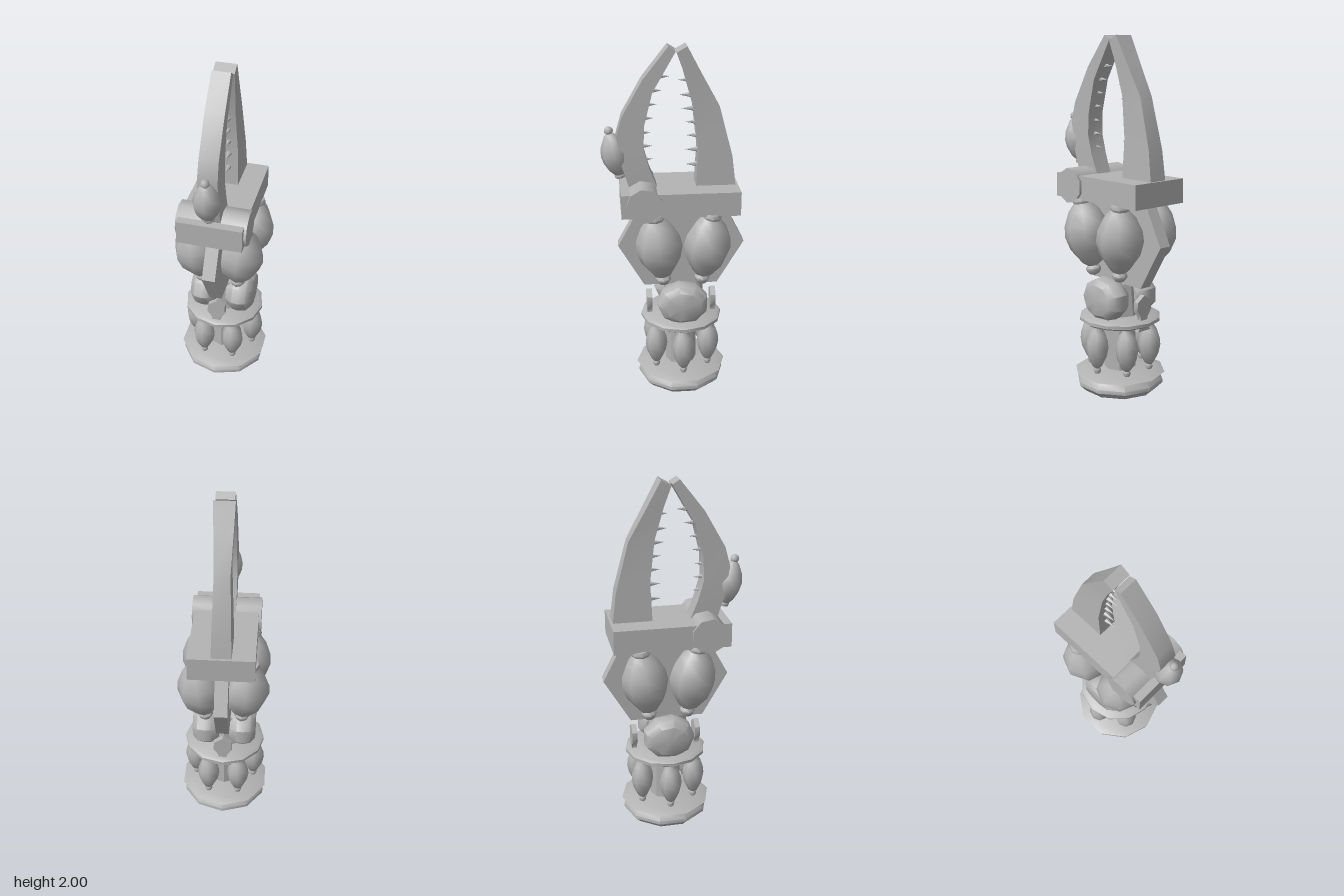
import * as THREE from 'three';
import { toCreasedNormals } from 'three/addons/utils/BufferGeometryUtils.js';

const CZ = -0.045; // z of the vertical axis of the stand

export function createModel() {
  const model = new THREE.Group();
  model.name = 'clawOnStand';
  const grey = new THREE.MeshStandardMaterial({ color: 0xb3b3b3 });
  grey.name = 'stone grey';

  const add = (name, geometry, x = 0, y = 0, z = 0, crease = 0.75) => {
    const mesh = new THREE.Mesh(toCreasedNormals(geometry, crease), grey);
    mesh.name = name;
    mesh.position.set(x, y, z);
    model.add(mesh);
    return mesh;
  };
  const lathe = (points, sides) =>
    new THREE.LatheGeometry(points.map(([r, y]) => new THREE.Vector2(r, y)), sides);
  const outline = (points) => new THREE.Shape(points.map(([x, y]) => new THREE.Vector2(x, y)));

  // Spindle-shaped bulb running from a beaded tip to a collared end
  const bulbProfile = [
    [0, 0], [0.22, 0.025], [0.32, 0.07], [0.33, 0.1], [0.24, 0.135], [0.42, 0.17],
    [0.85, 0.36], [1, 0.53], [0.93, 0.67], [0.66, 0.84], [0.38, 0.93], [0.42, 0.96], [0.36, 1], [0, 1],
  ];
  const up = new THREE.Vector3(0, 1, 0);
  function bulb(name, tip, end, radius, sides = 8) {
    const from = new THREE.Vector3(...tip);
    const axis = new THREE.Vector3(...end).sub(from);
    const length = axis.length();
    const geometry = lathe(bulbProfile.map(([r, t]) => [r * radius, t * length]), sides);
    const mesh = add(name, geometry, ...tip, 0.9);
    mesh.quaternion.setFromUnitVectors(up, axis.normalize());
  }

  // Stand: moulded foot, column, balusters and collar
  add('foot', lathe([
    [0, 0], [0.215, 0], [0.25, 0.035], [0.25, 0.055], [0.225, 0.085],
    [0.262, 0.1], [0.215, 0.12], [0, 0.12],
  ], 10), 0, 0, CZ);
  add('column', new THREE.CylinderGeometry(0.09, 0.09, 0.32, 8), 0, 0.27, CZ);
  for (let i = 0; i < 6; i++) {
    const a = (i / 6) * Math.PI * 2;
    const x = Math.cos(a) * 0.175, z = CZ + Math.sin(a) * 0.175;
    bulb('baluster', [x, 0.11, z], [x, 0.41, z], 0.064);
  }
  add('collar', lathe([
    [0, 0.4], [0.215, 0.4], [0.234, 0.412], [0.234, 0.43], [0.215, 0.443], [0, 0.443],
  ], 12), 0, 0, CZ);

  // Knuckle: two rounded lobes around a core
  for (const side of [1, -1]) {
    const lobe = lathe([
      [0, 0.02], [0.11, 0.03], [0.145, 0.075], [0.15, 0.11], [0.14, 0.155], [0.105, 0.183], [0, 0.185],
    ], 9);
    lobe.rotateZ(-side * Math.PI / 2);
    lobe.scale(1, 0.85, 1);
    add('knuckleLobe', lobe, 0, 0.545, CZ);
  }
  add('knuckleCore', new THREE.CylinderGeometry(0.09, 0.11, 0.2, 8), 0, 0.53, CZ);

  // Lugs on the front and back rim of the collar
  const lugShape = outline([
    [-0.045, 0.38], [0.045, 0.38], [0.025, 0.43], [0.025, 0.46], [0.053, 0.5],
    [0.05, 0.55], [0, 0.585], [-0.05, 0.55], [-0.053, 0.5], [-0.025, 0.46], [-0.025, 0.43],
  ]);
  for (const z of [0.125, -0.245]) {
    add('lug', new THREE.ExtrudeGeometry(lugShape, { depth: 0.03, bevelEnabled: false }), 0, 0, z);
  }

  // Upright hexagonal web between the four large bulbs
  const web = new THREE.ExtrudeGeometry(outline([
    [0.17, 0.63], [-0.25, 0.63], [-0.4, 0.885], [-0.285, 1.11], [0.19, 1.11], [0.315, 0.88],
  ]), { depth: 0.074, bevelEnabled: false });
  web.rotateY(-Math.PI / 2);
  add('web', web, 0.037);
  for (const sx of [1, -1]) {
    for (const sz of [1, -1]) {
      bulb('largeBulb', [sx * 0.1, 0.66, CZ + sz * 0.105], [sx * 0.148, 1.11, CZ + sz * 0.16], 0.132);
    }
  }

  // Palm slab and hinge roller
  add('palm', new THREE.BoxGeometry(0.36, 0.135, 0.65), 0, 1.1675, -0.03);
  const roller = new THREE.CylinderGeometry(0.1, 0.1, 0.39, 9);
  roller.rotateZ(Math.PI / 2);
  add('hingeRoller', roller, 0, 1.173, 0.17);

  // Claw from rows of [zFront, yFront, zBack, yBack, halfWidth]
  function claw(name, rows) {
    const positions = [], index = [];
    for (const [zf, yf, zb, yb, w] of rows) {
      positions.push(-w, yf, zf, w, yf, zf, w, yb, zb, -w, yb, zb);
    }
    const quad = (a, b, c, d) => index.push(a, b, c, a, c, d);
    for (let i = 0; i < rows.length - 1; i++) {
      for (let k = 0; k < 4; k++) {
        const n = (k + 1) % 4, o = i * 4;
        quad(o + k, o + n, o + 4 + n, o + 4 + k);
      }
    }
    const t = (rows.length - 1) * 4;
    quad(3, 2, 1, 0);
    quad(t, t + 1, t + 2, t + 3);
    const geometry = new THREE.BufferGeometry();
    geometry.setAttribute('position', new THREE.Float32BufferAttribute(positions, 3));
    geometry.setIndex(index);
    add(name, geometry, 0, 0, 0, 0.6);
  }
  claw('frontClaw', [
    [0.23, 1.18, 0.08, 1.2, 0.05],
    [0.285, 1.36, 0.135, 1.34, 0.054],
    [0.31, 1.52, 0.165, 1.45, 0.054],
    [0.28, 1.63, 0.16, 1.58, 0.052],
    [0.165, 1.83, 0.115, 1.76, 0.052],
    [0.03, 2.0, -0.01, 1.975, 0.05],
  ]);
  claw('rearClaw', [
    [-0.12, 1.2, -0.345, 1.2, 0.056],
    [-0.132, 1.45, -0.32, 1.4, 0.05],
    [-0.105, 1.68, -0.245, 1.68, 0.042],
    [-0.055, 1.86, -0.145, 1.86, 0.05],
    [-0.015, 1.97, -0.07, 2.0, 0.056],
  ]);

  // Teeth along the inner edges: [y, tip z]
  function teeth(name, list, direction) {
    for (const [y, z] of list) {
      const cone = new THREE.ConeGeometry(0.021, 0.09, 6);
      cone.rotateX(direction * Math.PI / 2);
      add(name, cone, 0, y, z - direction * 0.045);
    }
  }
  teeth('frontTooth', [
    [1.835, 0.02], [1.76, 0.06], [1.685, 0.09], [1.61, 0.105], [1.53, 0.12], [1.455, 0.115], [1.38, 0.11],
  ], -1);
  teeth('rearTooth', [
    [1.815, -0.025], [1.735, -0.03], [1.66, -0.045], [1.585, -0.065], [1.51, -0.07], [1.43, -0.065], [1.345, -0.065],
  ], 1);

  // Bulb on the outside of the front claw
  bulb('clawBulb', [0, 1.57, 0.355], [0, 1.28, 0.29], 0.076);

  return model;
}
